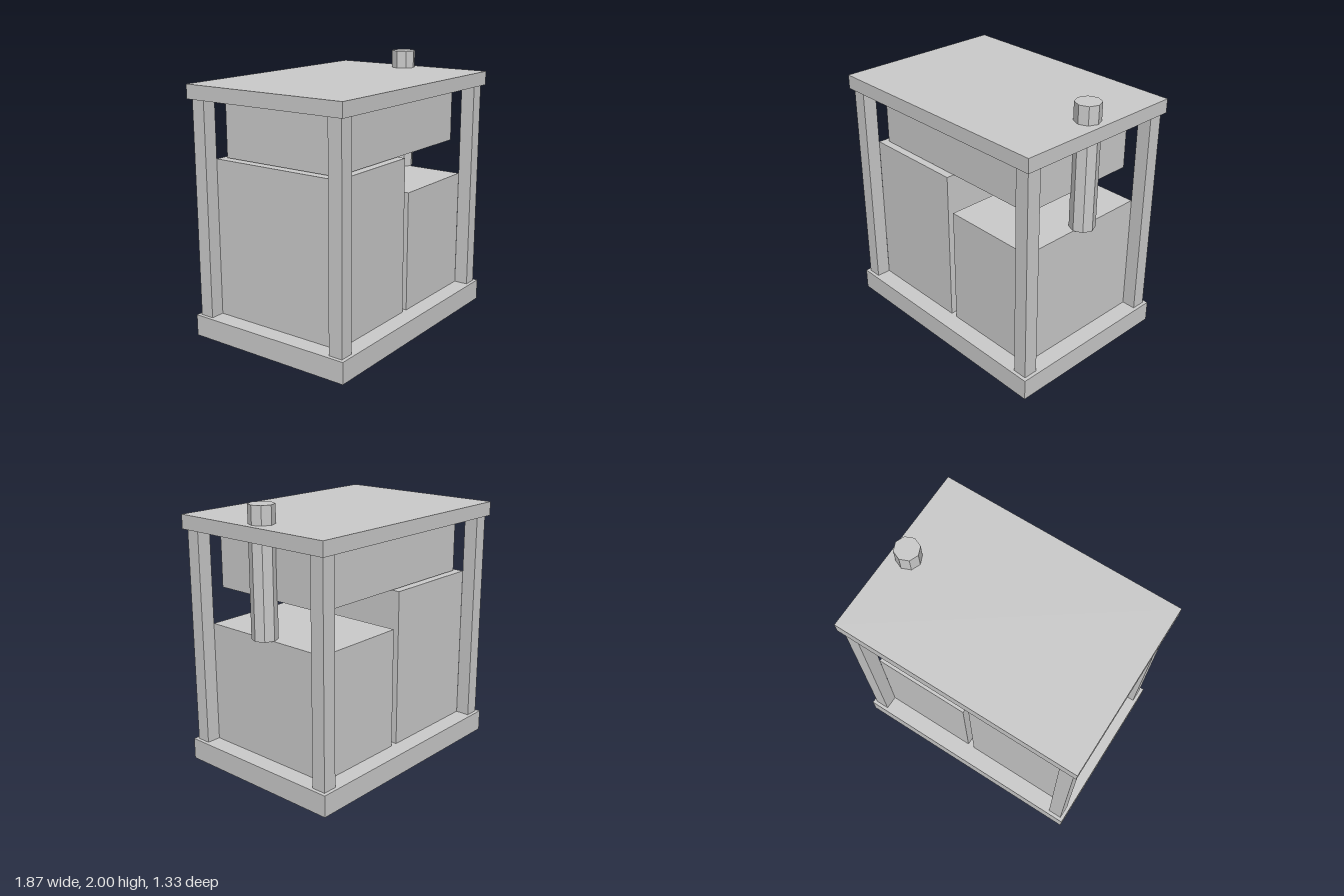
import * as THREE from 'three';

const material = new THREE.MeshStandardMaterial({
  color: 0xcccccc, flatShading: true, side: THREE.DoubleSide,
});

// Box given by its limits; openBottom leaves out the underside
function box(name, [x0, x1], [y0, y1], [z0, z1], openBottom = false) {
  const geometry = new THREE.BoxGeometry(x1 - x0, y1 - y0, z1 - z0);
  if (openBottom) {
    const index = Array.from(geometry.index.array);
    index.splice(18, 6);
    geometry.setIndex(index);
    geometry.clearGroups();
  }
  const mesh = new THREE.Mesh(geometry, material);
  mesh.name = name;
  mesh.position.set((x0 + x1) / 2, (y0 + y1) / 2, (z0 + z1) / 2);
  return mesh;
}

export function createModel() {
  const model = new THREE.Group();
  model.name = 'machine';

  // Hollow base tray and solid lid
  model.add(box('base', [-0.933, 0.933], [0, 0.16], [-0.667, 0.667], true));
  model.add(box('lid', [-0.933, 0.933], [1.763, 1.867], [-0.667, 0.667]));

  // Hollow corner posts, running down through the base
  for (const sx of [-1, 1]) {
    for (const sz of [-1, 1]) {
      const post = box('cornerPost', [-0.0535, 0.0535], [0, 1.763], [-0.0535, 0.0535], true);
      post.position.x = sx * 0.853;
      post.position.z = sz * 0.587;
      model.add(post);
    }
  }

  // Tall and low blocks standing on the base
  model.add(box('tallBlock', [-0.8, 0], [0.16, 1.333], [-0.533, 0.533], true));
  model.add(box('lowBlock', [0.053, 0.8], [0.16, 1.067], [-0.533, 0.533], true));

  // Box hanging below the lid
  model.add(box('upperBox', [-0.747, 0.747], [1.338, 1.763], [-0.48, 0.48]));

  // Eight-sided pipe through the lid
  const pipe = new THREE.Mesh(new THREE.CylinderGeometry(0.093, 0.093, 0.93, 8), material);
  pipe.name = 'pipe';
  pipe.position.set(0.8, 1.535, 0);
  model.add(pipe);

  return model;
}
